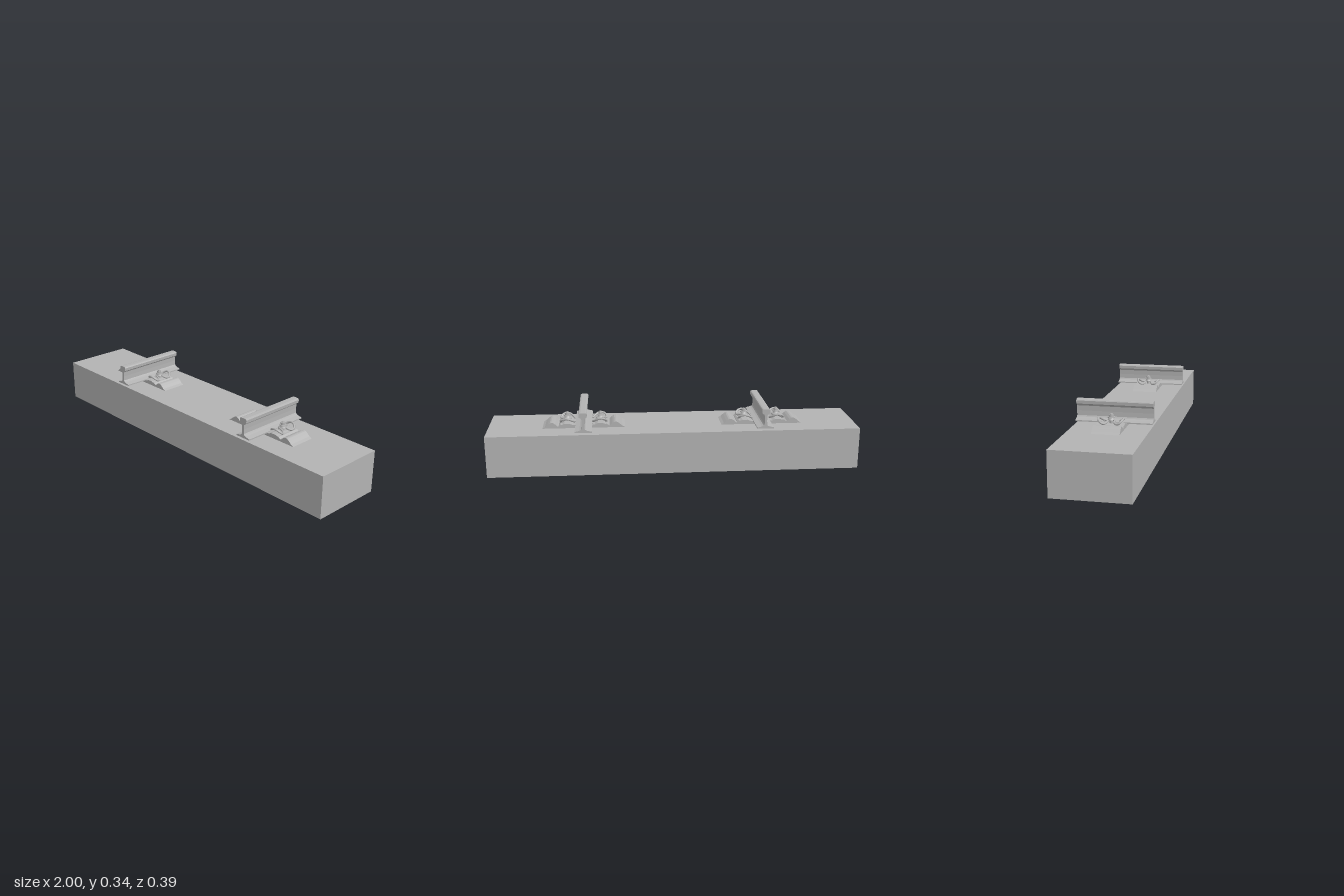
import * as THREE from 'three';

const steel = new THREE.MeshStandardMaterial({ color: 0xb2b2b2 });
steel.name = 'grey';

const TOP = 0.226;      // top of the sleeper
const RAIL_X = 0.485;   // rail centre lines
const HALF_Z = 0.194;   // half depth of sleeper and rails
const PAD_Z = 0.069;    // half depth of the fastenings

function add(parent, name, geometry, x = 0, y = 0, z = 0) {
  const mesh = new THREE.Mesh(geometry, steel);
  mesh.name = name;
  mesh.position.set(x, y, z);
  parent.add(mesh);
  return mesh;
}

// Extrude an x-y outline evenly to both sides of z = 0
function prism(points, halfDepth) {
  const shape = new THREE.Shape(points.map(([x, y]) => new THREE.Vector2(x, y)));
  const g = new THREE.ExtrudeGeometry(shape, { depth: 2 * halfDepth, bevelEnabled: false });
  return g.translate(0, 0, -halfDepth);
}

// Rail section: foot, web and head, mirrored about x = 0
function railGeometry() {
  const half = [
    [0.045, 0.238], [0.045, 0.244], [0.02, 0.25], [0.011, 0.254], [0.007, 0.261],
    [0.006, 0.285], [0.007, 0.31], [0.011, 0.316], [0.021, 0.322],
    [0.022, 0.338], [0.019, 0.343], [0.012, 0.345],
  ];
  const mirrored = half.map(([x, y]) => [-x, y]).reverse();
  return prism([...half, ...mirrored], HALF_Z);
}

// One sprung rod, bent in a W: centre loop, hind bends and raised outer arms
function clipGeometry() {
  const half = [
    [0.076, 0.262, 0.012], [0.09, 0.262, 0.017], [0.106, 0.257, 0.019],
    [0.12, 0.252, 0.03], [0.124, 0.256, 0.044], [0.115, 0.268, 0.057],
    [0.095, 0.275, 0.062], [0.075, 0.27, 0.06], [0.06, 0.26, 0.05], [0.05, 0.253, 0.036],
  ];
  const points = [
    ...half.map(([x, y, z]) => [x, y, -z]).reverse(), [0.07, 0.262, 0], ...half,
  ].map((p) => new THREE.Vector3(...p));
  return new THREE.TubeGeometry(new THREE.CatmullRomCurve3(points), 72, 0.0055, 8);
}

// Fastening on the +x side of a rail
function fastening() {
  const g = new THREE.Group();
  g.name = 'railFastening';

  // Cast shoulder with a flat crown and flared flanks
  add(g, 'shoulder', prism([
    [0.125, TOP], [0.222, TOP], [0.208, 0.234], [0.194, 0.246], [0.182, 0.255],
    [0.174, 0.257], [0.165, 0.256], [0.154, 0.249], [0.142, 0.238], [0.13, 0.234],
    [0.125, 0.234],
  ], PAD_Z));

  // Angled guide plate between shoulder and rail foot
  add(g, 'guidePlate', prism([
    [0.046, TOP], [0.135, TOP], [0.135, 0.238], [0.125, 0.246], [0.115, 0.246],
    [0.105, 0.25], [0.075, 0.25], [0.06, 0.243], [0.046, 0.242],
  ], PAD_Z));

  add(g, 'springClip', clipGeometry());
  const ends = clipGeometry.ends || [[0.05, 0.253, 0.036]];
  for (const side of [-1, 1]) {
    for (const [x, y, z] of ends) {
      add(g, 'clipEnd', new THREE.SphereGeometry(0.0055, 8, 6), x, y, side * z);
    }
  }

  // Screw, washer and hexagonal head
  add(g, 'screwShank', new THREE.CylinderGeometry(0.008, 0.008, 0.05, 12), 0.09, 0.257);
  add(g, 'washer', new THREE.CylinderGeometry(0.019, 0.019, 0.004, 20), 0.09, 0.28);
  add(g, 'screwCollar', new THREE.CylinderGeometry(0.011, 0.017, 0.012, 16), 0.09, 0.273);
  add(g, 'screwHead', new THREE.CylinderGeometry(0.012, 0.013, 0.012, 6), 0.09, 0.288);
  add(g, 'screwTip', new THREE.CylinderGeometry(0.006, 0.007, 0.005, 12), 0.09, 0.2965);
  return g;
}

export function createModel() {
  const model = new THREE.Group();
  model.name = 'railwaySleeper';
  add(model, 'sleeper', new THREE.BoxGeometry(2, TOP, 2 * HALF_Z), 0, TOP / 2);

  for (const x of [-RAIL_X, RAIL_X]) {
    const track = new THREE.Group();
    track.name = x < 0 ? 'rightRailAssembly' : 'leftRailAssembly';
    track.position.x = x;
    add(track, 'rail', railGeometry());
    add(track, 'railPad', new THREE.BoxGeometry(0.092, 0.012, 2 * PAD_Z), 0, TOP + 0.006);

    // The far side is the same fastening turned half round
    for (const turn of [0, Math.PI]) {
      const f = fastening();
      f.rotation.y = turn;
      track.add(f);
    }
    model.add(track);
  }
  return model;
}
